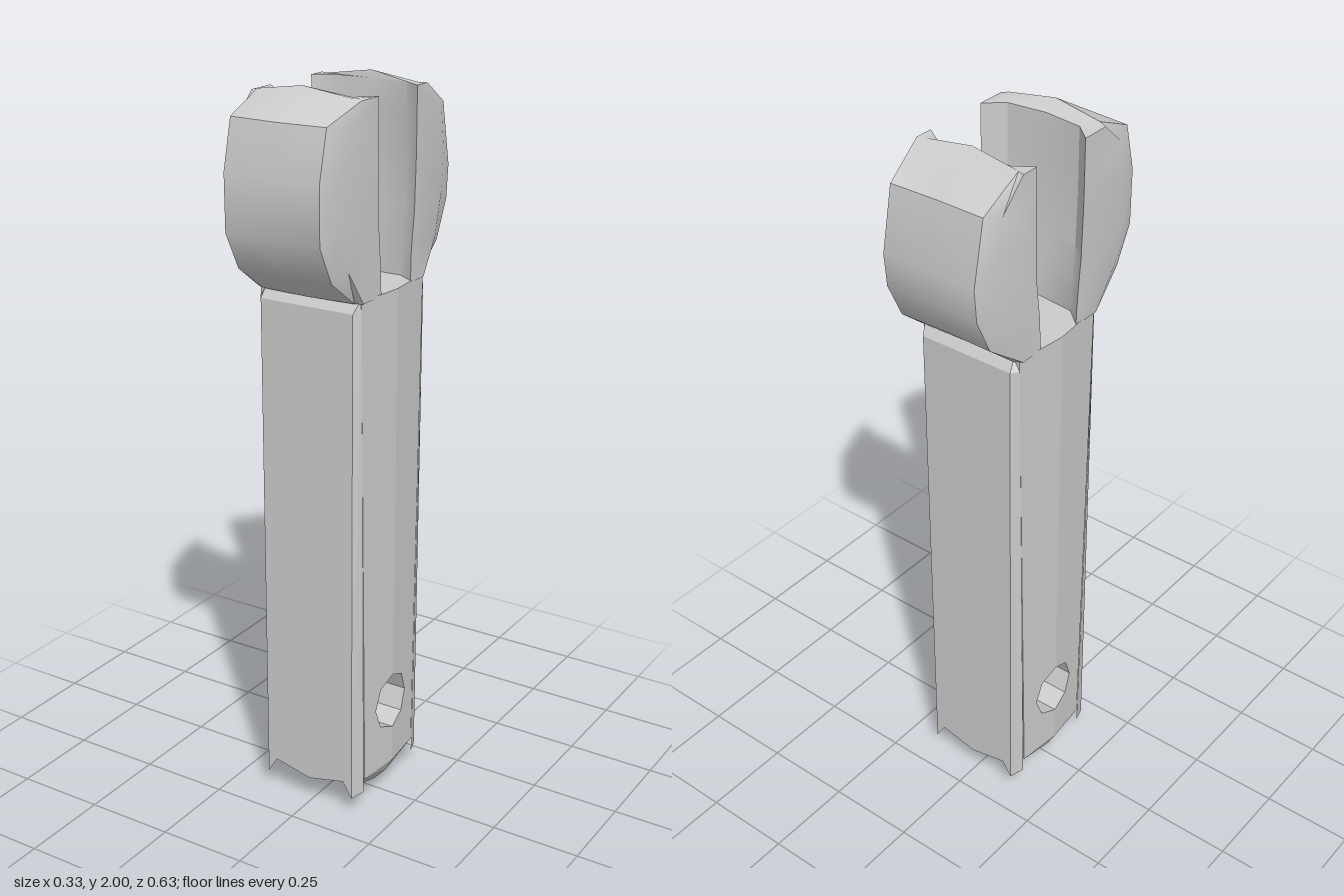
import * as THREE from 'three';
import { toCreasedNormals } from 'three/addons/utils/BufferGeometryUtils.js';
import { ConvexGeometry } from 'three/addons/geometries/ConvexGeometry.js';

const RIDGE_Z = -0.012;
const sideX = z => 0.166 - 0.1 * Math.abs(z - RIDGE_Z); // gently ridged sides
const material = new THREE.MeshStandardMaterial({ color: 0xcccccc });
const thinMaterial = new THREE.MeshStandardMaterial({ color: 0xcccccc, side: THREE.DoubleSide });

// Triangles of a grid of points; flip reverses the facing
function gridTriangles(rows, flip) {
  const out = [];
  for (let r = 0; r + 1 < rows.length; r++) {
    for (let c = 0; c + 1 < rows[r].length; c++) {
      const a = rows[r][c], b = rows[r][c + 1], d = rows[r + 1][c + 1], e = rows[r + 1][c];
      out.push(...(flip ? [a, d, b, a, e, d] : [a, b, d, a, d, e]));
    }
  }
  return out;
}

function surface(triangles, crease) {
  const geo = new THREE.BufferGeometry();
  geo.setAttribute('position', new THREE.Float32BufferAttribute(triangles.flat(), 3));
  geo.computeVertexNormals();
  return toCreasedNormals(geo, crease);
}

function add(group, name, geo, mat = material) {
  const mesh = new THREE.Mesh(geo, mat);
  mesh.name = name;
  group.add(mesh);
}

// Half of the handle core (s = 1 front, -1 back), notched by half of the octagonal hole
function coreHalf(s, zBottom, zTop) {
  const pts = [[RIDGE_Z, 0.1], [zBottom, 0.1], [zTop, 1.48], [RIDGE_Z, 1.48]];
  for (let i = 0; i <= 4; i++) {
    const a = i * Math.PI / 4;
    pts.push([RIDGE_Z + s * 0.078 * Math.sin(a), 0.29 + 0.083 * Math.cos(a)]);
  }
  const shape = new THREE.Shape(pts.map(p => new THREE.Vector2(...p)));
  const geo = new THREE.ExtrudeGeometry(shape, { depth: 1, bevelEnabled: false });
  const pos = geo.attributes.position;
  for (let i = 0; i < pos.count; i++) {
    const z = pos.getX(i);
    pos.setXYZ(i, (pos.getZ(i) > 0.5 ? -1 : 1) * sideX(z), pos.getY(i), z);
  }
  geo.computeVertexNormals();
  return geo;
}

// Thin cover with folded lips and pointed lower corners
function cover(zFace, zLipBottom, zLipTop) {
  const xs = [-0.152, -0.138, -0.11, 0, 0.11, 0.138, 0.152];
  const bottom = [0.058, 0.055, 0.1, 0.075, 0.1, 0.055, 0.058];
  const isLip = i => i === 0 || i === 6;
  const rows = [
    xs.map((x, i) => [x, bottom[i], isLip(i) ? zLipBottom : zFace]),
    xs.map((x, i) => [x, 1.45, isLip(i) ? zLipTop : zFace]),
    xs.map(x => [x * 0.97, 1.48, zLipTop]),
  ];
  return surface(gridTriangles(rows, zFace < 0), 0.3);
}

// Jaw lofted upward; every row is [z, y] of the outer face, the side edge and the mouth
function jaw(s, rows, hollow, bulge) {
  const outerRows = [], innerRows = [], loops = [];
  rows.forEach(([[zo, yo], [zs, ys], [zi, yi]], i) => {
    const drop = i === rows.length - 1 ? 0.02 : 0;
    const outer = [
      [-0.157, ys, s * zs], [-0.137, yo - drop, s * zo], [0, yo, s * (zo + bulge)],
      [0.137, yo - drop, s * zo], [0.157, ys, s * zs],
    ];
    const inner = [
      [-0.157, yi, s * zi], [-0.108, yi, s * (zi + hollow[0])], [0, yi, s * (zi + hollow[1])],
      [0.108, yi, s * (zi + hollow[0])], [0.157, yi, s * zi],
    ];
    outerRows.push(outer);
    innerRows.push(inner);
    loops.push([...outer, ...inner.slice().reverse(), outer[0]]);
  });
  const last = rows.length - 1, flip = s < 0;
  return surface([
    ...gridTriangles(loops, flip),
    ...gridTriangles([outerRows[last], innerRows[last]], flip),
    ...gridTriangles([innerRows[0], outerRows[0]], flip),
  ], 0.6);
}

export function createModel() {
  const model = new THREE.Group();

  // Handle core with the hole through both sides
  add(model, 'handleCoreFront', coreHalf(1, 0.115, 0.14));
  add(model, 'handleCoreBack', coreHalf(-1, -0.14, -0.165));

  // Faceted tip below the core
  const tip = [[0, 0, -0.005], [0, 0.06, 0.114], [0, 0.07, -0.138]];
  for (const x of [-1, 1]) {
    for (const z of [0.115, RIDGE_Z, -0.14]) tip.push([x * sideX(z), 0.1, z]);
    tip.push([x * 0.11, 0.02, RIDGE_Z], [x * 0.11, 0.045, 0.075], [x * 0.11, 0.045, -0.1]);
    tip.push([x * 0.145, 0.06, RIDGE_Z]);
  }
  add(model, 'handleTip', new ConvexGeometry(tip.map(p => new THREE.Vector3(...p))));

  // Covers over the front and back of the handle
  add(model, 'frontCover', cover(0.16, 0.118, 0.14), thinMaterial);
  add(model, 'backCover', cover(-0.185, -0.143, -0.165), thinMaterial);

  // Open jaws
  add(model, 'frontJaw', jaw(1, [
    [[0.15, 1.475], [0.14, 1.475], [0.055, 1.475]],
    [[0.255, 1.55], [0.21, 1.57], [0.06, 1.56]],
    [[0.306, 1.65], [0.245, 1.69], [0.07, 1.66]],
    [[0.307, 1.8], [0.245, 1.82], [0.075, 1.8]],
    [[0.275, 1.93], [0.225, 1.91], [0.075, 1.9]],
    [[0.16, 2.0], [0.155, 1.975], [0.075, 1.975]],
  ], [0.043, 0.056], 0.008), material);
  add(model, 'backJaw', jaw(-1, [
    [[0.17, 1.475], [0.157, 1.475], [0.09, 1.475]],
    [[0.26, 1.55], [0.215, 1.57], [0.092, 1.56]],
    [[0.307, 1.65], [0.245, 1.69], [0.105, 1.66]],
    [[0.315, 1.74], [0.25, 1.8], [0.11, 1.8]],
    [[0.28, 1.91], [0.235, 1.9], [0.11, 1.9]],
    [[0.152, 1.995], [0.16, 1.975], [0.11, 1.975]],
  ], [0.033, 0.034], -0.003), material);

  return model;
}
